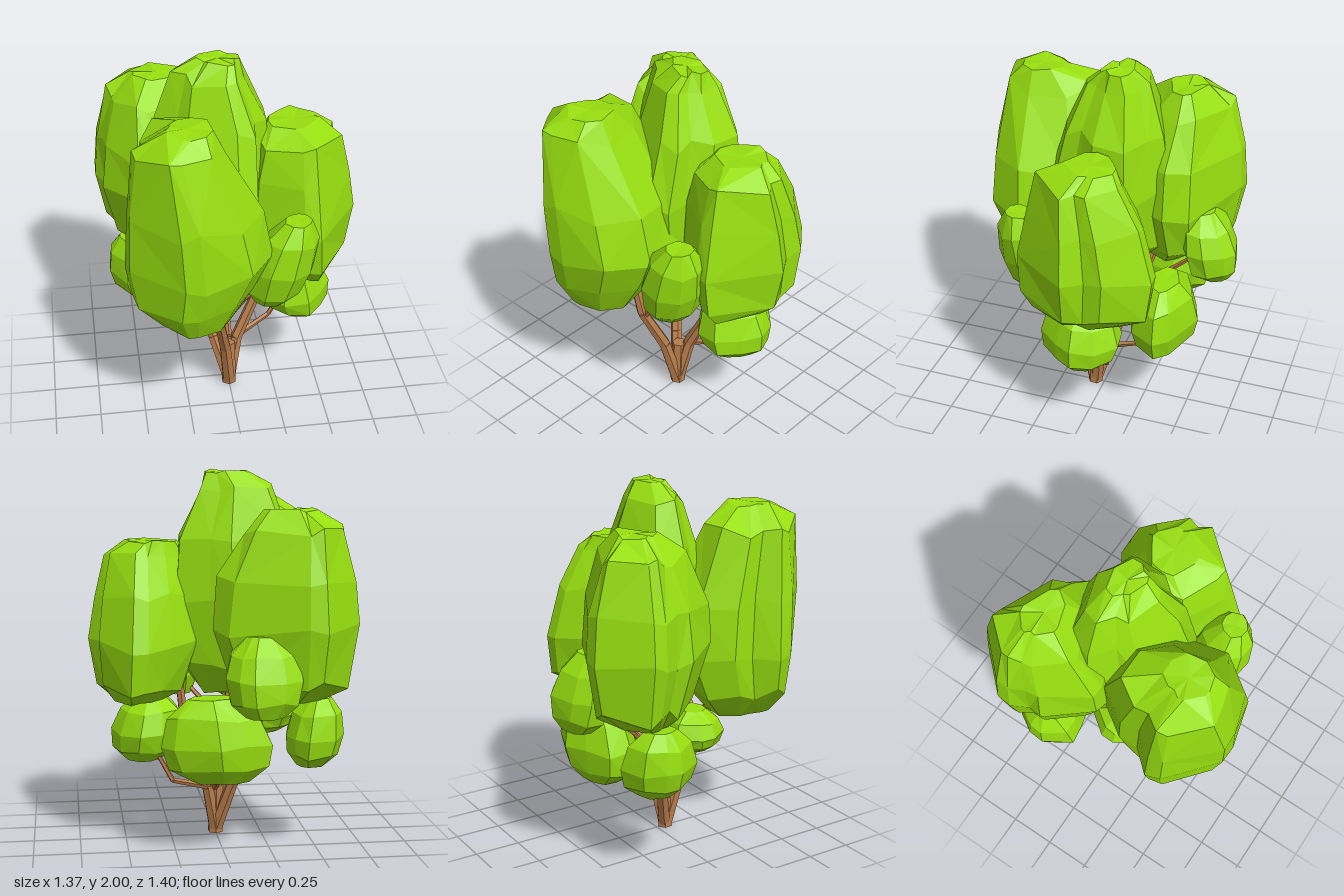
import * as THREE from 'three';

const leafMat = new THREE.MeshStandardMaterial({ color: 0x98e010, flatShading: true, roughness: 0.9 });
const barkMat = new THREE.MeshStandardMaterial({ color: 0xba7e4c, flatShading: true, roughness: 0.9 });

// Small seeded generator
function seeded(seed) {
  let s = seed * 7919 + 17;
  const next = () => (s = (s * 16807) % 2147483647) / 2147483647;
  for (let i = 0; i < 5; i++) next();
  return next;
}

// Faceted foliage: a plan outline of [x, z] fitted into levels of [y, xMin, xMax, zMin, zMax]
function foliage(name, outline, levels, seed) {
  const rand = seeded(seed);
  const sides = outline.length;
  const box = new THREE.Box2().setFromPoints(outline.map(([x, z]) => new THREE.Vector2(x, z)));
  const size = box.getSize(new THREE.Vector2());
  const height = levels.at(-1)[0] - levels[0][0];
  const pos = [], index = [];
  levels.forEach(([y, x0, x1, z0, z1], i) => {
    const wobble = i > 0 && i < levels.length - 1 ? 0.07 * height : 0.02 * height;
    for (const [x, z] of outline) {
      const u = (x - box.min.x) / size.x - 0.5, v = (z - box.min.y) / size.y - 0.5;
      const r = 0.97 + rand() * 0.06;
      pos.push((x0 + x1) / 2 + u * r * (x1 - x0), y + (rand() - 0.5) * wobble, (z0 + z1) / 2 + v * r * (z1 - z0));
    }
  });
  for (let i = 0; i < levels.length - 1; i++) {
    for (let j = 0; j < sides; j++) {
      const a = i * sides + j, b = i * sides + ((j + 1) % sides), c = b + sides, d = a + sides;
      if ((i + j) % 2) index.push(a, d, c, a, c, b);
      else index.push(a, d, b, d, c, b);
    }
  }
  // Caps fanned around a middle point
  for (const [i, up] of [[0, false], [levels.length - 1, true]]) {
    const [y, x0, x1, z0, z1] = levels[i];
    const mid = pos.length / 3;
    pos.push((x0 + x1) / 2, y, (z0 + z1) / 2);
    for (let j = 0; j < sides; j++) {
      const a = i * sides + j, b = i * sides + ((j + 1) % sides);
      index.push(mid, ...(up ? [b, a] : [a, b]));
    }
  }
  const geo = new THREE.BufferGeometry();
  geo.setAttribute('position', new THREE.Float32BufferAttribute(pos, 3));
  geo.setIndex(index);
  geo.computeVertexNormals();
  const mesh = new THREE.Mesh(geo, leafMat);
  mesh.name = name;
  return mesh;
}

// Small irregular tuft from its bounds, leaning by dx, dz from bottom to top
function tuft(name, [x0, x1], [y0, y1], [z0, z1], seed, dx = 0, dz = 0) {
  const rand = seeded(seed), sides = 9;
  const outline = Array.from({ length: sides }, (_, j) => {
    const a = ((j + (rand() - 0.5) * 0.5) / sides) * Math.PI * 2;
    const r = 0.9 + rand() * 0.2;
    return [Math.cos(a) * r, Math.sin(a) * r];
  });
  const profile = [[0, 0.5], [0.18, 0.88], [0.45, 1], [0.78, 0.84], [1, 0.42]];
  const levels = profile.map(([t, s]) => {
    const x = (x0 + x1) / 2 + dx * (t - 0.5), z = (z0 + z1) / 2 + dz * (t - 0.5);
    const rx = (s * (x1 - x0)) / 2, rz = (s * (z1 - z0)) / 2;
    return [y0 + t * (y1 - y0), x - rx, x + rx, z - rz, z + rz];
  });
  return foliage(name, outline, levels, seed);
}

// Tapered branch along a bent path
function branch(name, points, r0, r1, sides = 6) {
  const g = new THREE.Group();
  g.name = name;
  const pts = points.map((p) => new THREE.Vector3(...p));
  const n = pts.length - 1;
  for (let i = 0; i < n; i++) {
    const dir = pts[i + 1].clone().sub(pts[i]);
    const geo = new THREE.CylinderGeometry(
      THREE.MathUtils.lerp(r0, r1, (i + 1) / n), THREE.MathUtils.lerp(r0, r1, i / n), dir.length(), sides
    );
    const mesh = new THREE.Mesh(geo, barkMat);
    mesh.name = name + 'Segment';
    mesh.position.copy(pts[i]).addScaledVector(dir, 0.5);
    mesh.quaternion.setFromUnitVectors(new THREE.Vector3(0, 1, 0), dir.normalize());
    g.add(mesh);
  }
  return g;
}

export function createModel() {
  const tree = new THREE.Group();
  tree.name = 'tree';

  // Trunk foot and main limbs
  tree.add(
    branch('trunk', [[0, 0, 0.055], [0, 0.27, 0.04]], 0.043, 0.04),
    branch('frontLimb', [[0, 0.02, 0.06], [-0.03, 0.3, 0.13], [-0.08, 0.57, 0.25], [-0.13, 0.88, 0.28]], 0.038, 0.025),
    branch('leftLimb', [[0, 0.02, 0.05], [0.05, 0.28, 0.01], [0.17, 0.55, -0.03], [0.21, 0.9, -0.05]], 0.038, 0.022),
    branch('backLimb', [[0, 0.02, 0.05], [-0.08, 0.28, -0.02], [-0.18, 0.58, -0.13], [-0.27, 0.92, -0.25]], 0.038, 0.022)
  );

  // Twigs carrying the small tufts
  const twigs = [
    [[0.04, 0.27, 0], [0.25, 0.34, -0.1], [0.36, 0.54, -0.1]],
    [[0.01, 0.27, -0.01], [0.02, 0.34, -0.2], [0.03, 0.5, -0.29]],
    [[-0.15, 0.5, -0.1], [-0.17, 0.68, -0.25], [-0.17, 0.88, -0.48]],
    [[-0.07, 0.55, 0.24], [0.06, 0.72, 0.25], [0.18, 0.85, 0.31]],
    [[-0.08, 0.35, -0.02], [-0.19, 0.43, 0], [-0.23, 0.64, 0.03]]
  ];
  twigs.forEach((p) => tree.add(branch('twig', p, 0.018, 0.011, 5)));

  // Four large crowns with lobed outlines
  tree.add(
    foliage('frontCrown', [
      [0.18, 0.43], [0.04, 0.63], [-0.2, 0.69], [-0.3, 0.69], [-0.55, 0.47],
      [-0.57, 0.39], [-0.48, 0.28], [-0.48, 0.17], [-0.36, 0], [-0.1, 0], [0.12, 0.15]
    ], [
      [0.73, -0.41, -0.04, 0.2, 0.57], [0.88, -0.54, 0.08, 0.08, 0.65], [1.1, -0.57, 0.18, 0, 0.69],
      [1.4, -0.56, 0.12, 0.02, 0.69], [1.76, -0.52, -0.07, 0.14, 0.63], [1.86, -0.36, -0.13, 0.3, 0.53]
    ], 3),
    foliage('centreCrown', [
      [0.22, -0.18], [0.21, 0.03], [0.13, 0.14], [0.12, 0.25], [0.02, 0.29], [-0.25, 0.17],
      [-0.29, 0.06], [-0.41, -0.06], [-0.36, -0.24], [-0.05, -0.34], [0.06, -0.28]
    ], [
      [0.82, -0.22, 0.08, -0.15, 0.1], [1, -0.38, 0.2, -0.3, 0.25], [1.35, -0.42, 0.23, -0.34, 0.29],
      [1.65, -0.37, 0.21, -0.3, 0.2], [1.92, -0.28, 0.1, -0.22, 0.1], [1.99, -0.15, 0.07, -0.15, 0.02]
    ], 8),
    foliage('backCrown', [
      [0.07, -0.33], [-0.05, -0.1], [-0.38, 0.04], [-0.46, 0.03], [-0.63, -0.2], [-0.63, -0.28],
      [-0.68, -0.37], [-0.67, -0.44], [-0.47, -0.66], [-0.38, -0.66], [0, -0.46]
    ], [
      [0.82, -0.52, -0.13, -0.46, -0.14], [0.92, -0.63, -0.02, -0.61, -0.06], [1.2, -0.69, 0.07, -0.665, 0.03],
      [1.45, -0.67, 0.04, -0.65, 0.01], [1.7, -0.6, -0.1, -0.57, -0.12], [1.8, -0.47, -0.2, -0.45, -0.25]
    ], 5),
    foliage('leftCrown', [
      [0.68, 0], [0.45, 0.31], [0.37, 0.3], [0.14, 0.15], [0.11, -0.02], [0.14, -0.2],
      [0.28, -0.33], [0.4, -0.41], [0.48, -0.41], [0.64, -0.2], [0.62, -0.1]
    ], [
      [0.79, 0.28, 0.58, -0.25, 0.24], [0.87, 0.18, 0.65, -0.38, 0.3], [1.1, 0.1, 0.685, -0.42, 0.315],
      [1.35, 0.12, 0.65, -0.34, 0.27], [1.56, 0.16, 0.6, -0.22, 0.21], [1.63, 0.22, 0.49, -0.18, 0.08]
    ], 11)
  );

  // Small tufts around and below the crowns
  tree.add(
    tuft('frontTuft', [0.08, 0.42], [0.75, 1.26], [0.18, 0.5], 14, 0.13, 0.05),
    tuft('backTuft', [-0.36, 0.02], [0.78, 1.18], [-0.7, -0.39], 21, 0, 0.08),
    tuft('leftLowTuft', [0.2, 0.57], [0.45, 0.8], [-0.22, 0.22], 33, -0.05),
    tuft('backLowTuft', [-0.24, 0.34], [0.4, 0.84], [-0.55, -0.19], 40, 0.05),
    tuft('rightLowTuft', [-0.64, -0.33], [0.46, 0.82], [-0.49, -0.11], 52, -0.04),
    tuft('innerLowTuft', [-0.43, -0.09], [0.57, 0.79], [-0.1, 0.22], 61)
  );
  return tree;
}
